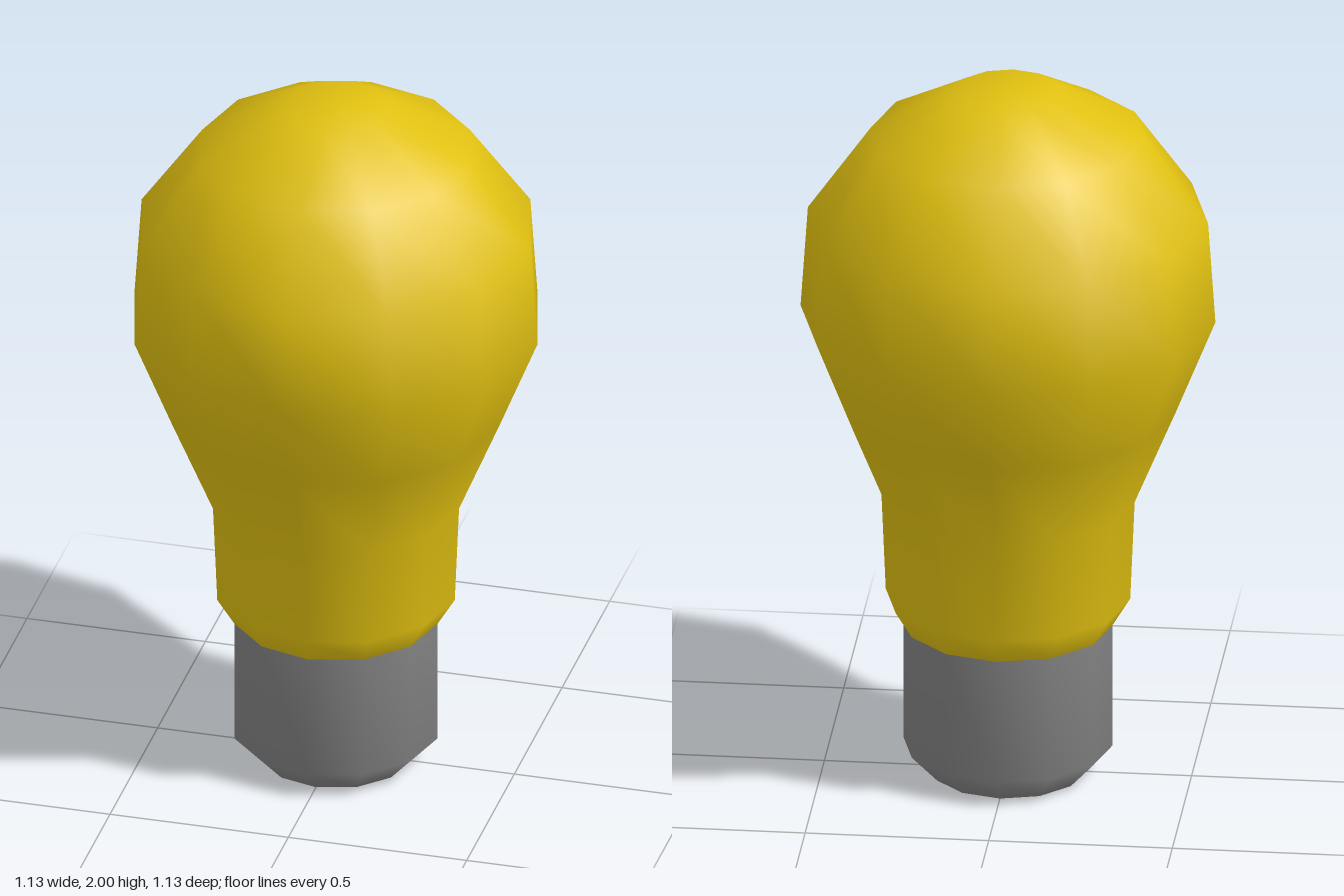
import * as THREE from 'three';

const SIDES = 12;

function lathe(name, profile, material) {
  const points = profile.map(([r, y]) => new THREE.Vector2(r, y));
  const mesh = new THREE.Mesh(new THREE.LatheGeometry(points, SIDES), material);
  mesh.name = name;
  return mesh;
}

export function createModel() {
  const yellow = new THREE.MeshStandardMaterial({ name: 'yellowGlass', color: 0xe0c010 });
  const grey = new THREE.MeshStandardMaterial({ name: 'greyMetal', color: 0x828282 });

  const group = new THREE.Group();
  group.name = 'lightBulb';

  // Glass: tapered collar, neck, flare and faceted dome
  group.add(lathe('glassBulb', [
    [0.285, 0.435], [0.333, 0.515], [0.345, 0.80], [0.457, 1.07], [0.565, 1.34],
    [0.545, 1.63], [0.375, 1.87], [0.14, 2.0], [0, 2.0],
  ], yellow));

  // Metal socket with a chamfered lower edge
  group.add(lathe('socketBase', [[0.21, 0], [0.285, 0.08], [0.285, 0.435]], grey));

  // Flat underside with a sharp edge
  const underside = new THREE.Mesh(new THREE.CircleGeometry(0.21, SIDES), grey);
  underside.name = 'socketUnderside';
  underside.rotation.x = Math.PI / 2;
  group.add(underside);

  return group;
}
